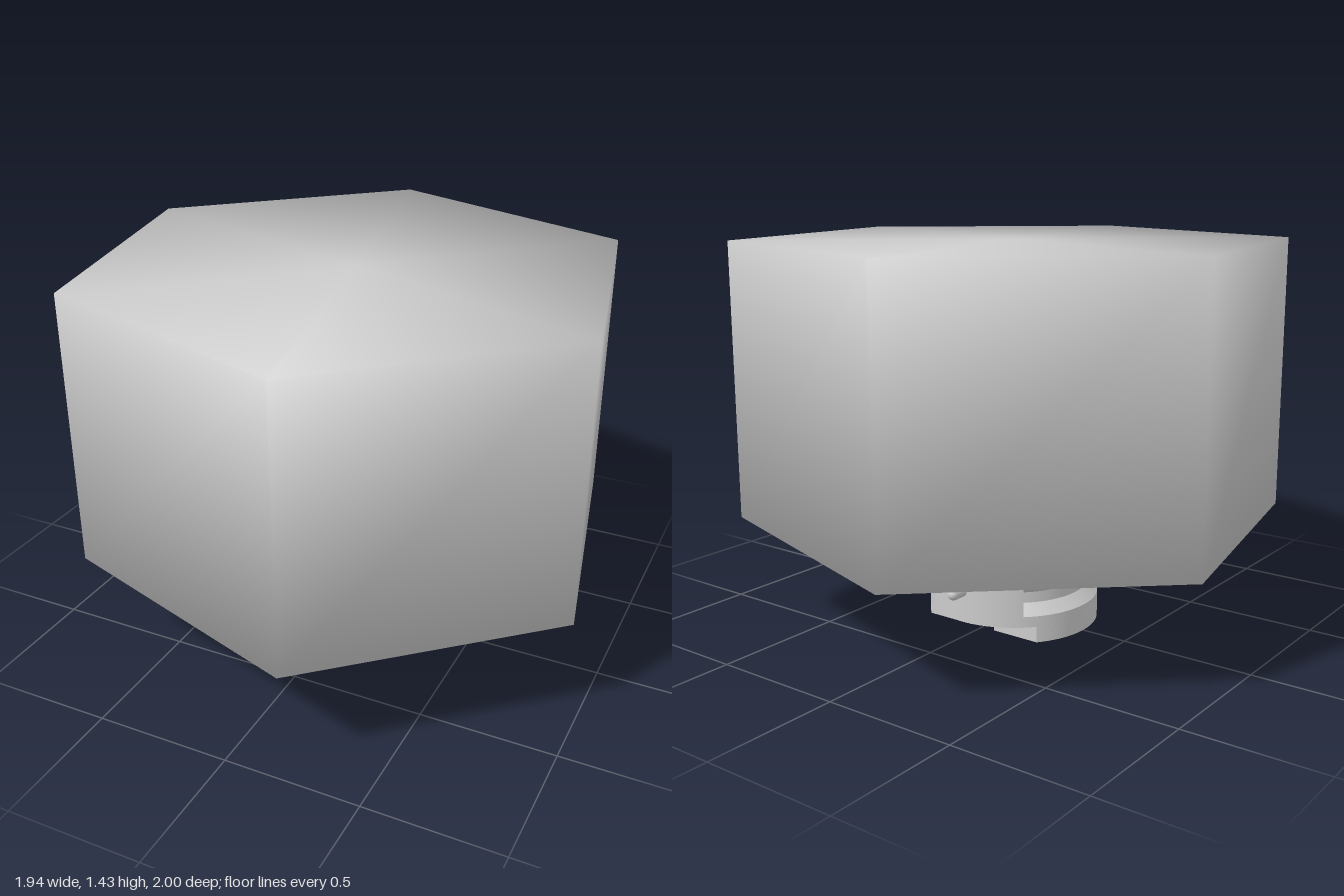
import * as THREE from 'three';
import { mergeVertices } from 'three/addons/utils/BufferGeometryUtils.js';

const material = new THREE.MeshStandardMaterial({ color: 0xcccccc, side: THREE.DoubleSide });

export function createModel() {
  const model = new THREE.Group();
  const add = (name, geometry, x = 0, y = 0, z = 0, parent = model) => {
    const mesh = new THREE.Mesh(geometry, material);
    mesh.name = name;
    mesh.position.set(x, y, z);
    parent.add(mesh);
    return mesh;
  };

  // Large hexagonal block, with normals shared across its corners
  let hex = new THREE.CylinderGeometry(1.02, 1.02, 1.02, 6);
  hex.deleteAttribute('normal');
  hex.deleteAttribute('uv');
  hex = mergeVertices(hex);
  hex.rotateY(0.207);
  hex.computeVertexNormals();
  add('hexagonalBlock', hex, 0, 0.92, 0);

  // Pie-shaped piece of the mount: a turned profile closed by two end walls
  const sector = (name, profile, start, end) => {
    const points = profile.map(([r, y]) => new THREE.Vector2(r, y));
    const group = new THREE.Group();
    group.name = name;
    // each profile edge is turned separately so the edges stay crisp
    for (let i = 0; i < points.length - 1; i++) {
      add(name + 'Face', new THREE.LatheGeometry([points[i], points[i + 1]], 24, start, end - start), 0, 0, 0, group);
    }
    for (const angle of [start, end]) {
      add(name + 'Wall', new THREE.ShapeGeometry(new THREE.Shape(points)), 0, 0, 0, group)
        .rotation.y = angle - Math.PI / 2;
    }
    model.add(group);
  };
  const R = 0.32, low = 0.06, top = 0.412;
  const plain = (r) => [[0, low], [r, low], [r, top], [0, top]];
  const waisted = [[0, low], [R, low], [R, 0.1], [0.28, 0.14], [0.28, 0.18], [R, 0.22], [R, top], [0, top]];
  const front = 0.53, side = 0.64, back = 2.4;
  sector('frontPanel', plain(R), -front, front);
  sector('backPanel', plain(R), back, 2 * Math.PI - back);
  sector('leftGrip', waisted, side, back);
  sector('rightGrip', waisted, 2 * Math.PI - back, 2 * Math.PI - side);
  sector('leftSeam', plain(0.295), front, side);
  sector('rightSeam', plain(0.295), -side, -front);

  // Two feet either side of the central slot, each with a screw recess
  const foot = new THREE.Shape();
  foot.moveTo(0.055, -0.2);
  foot.lineTo(0.25, -0.2);
  foot.absarc(0, 0, R, -0.675, 1.398, false);
  foot.closePath();
  const recess = new THREE.Path();
  recess.absarc(0.185, 0.03, 0.085, 0, Math.PI * 2, true);
  foot.holes.push(recess);
  const footGeometry = new THREE.ExtrudeGeometry(foot, { depth: low, bevelEnabled: false, curveSegments: 32 });
  footGeometry.rotateX(Math.PI / 2);

  const ball = new THREE.SphereGeometry(0.018, 16, 12);
  for (const s of [1, -1]) {
    const label = s > 0 ? 'left' : 'right';
    add(label + 'Foot', footGeometry, 0, low, 0).scale.x = s;
    add(label + 'Screw', new THREE.SphereGeometry(0.055, 24, 12), s * 0.185, low, 0.03).scale.y = 0.6;
    // hinge rod and its ball ends in the front seam
    add(label + 'Rod', new THREE.CylinderGeometry(0.008, 0.008, 0.34, 12), s * 0.165, 0.23, 0.25);
    for (const y of [0.05, 0.27]) add(label + 'RodBall', ball, s * 0.17, y, 0.258);
  }

  // Rounded peg at the back and a small stud underneath
  add('backPeg', new THREE.CapsuleGeometry(0.023, 0.08, 6, 16), 0, 0.18, -0.327).rotation.x = Math.PI / 2;
  add('backStud', new THREE.CylinderGeometry(0.04, 0.04, 0.02, 24), 0, low, -0.23);

  return model;
}
